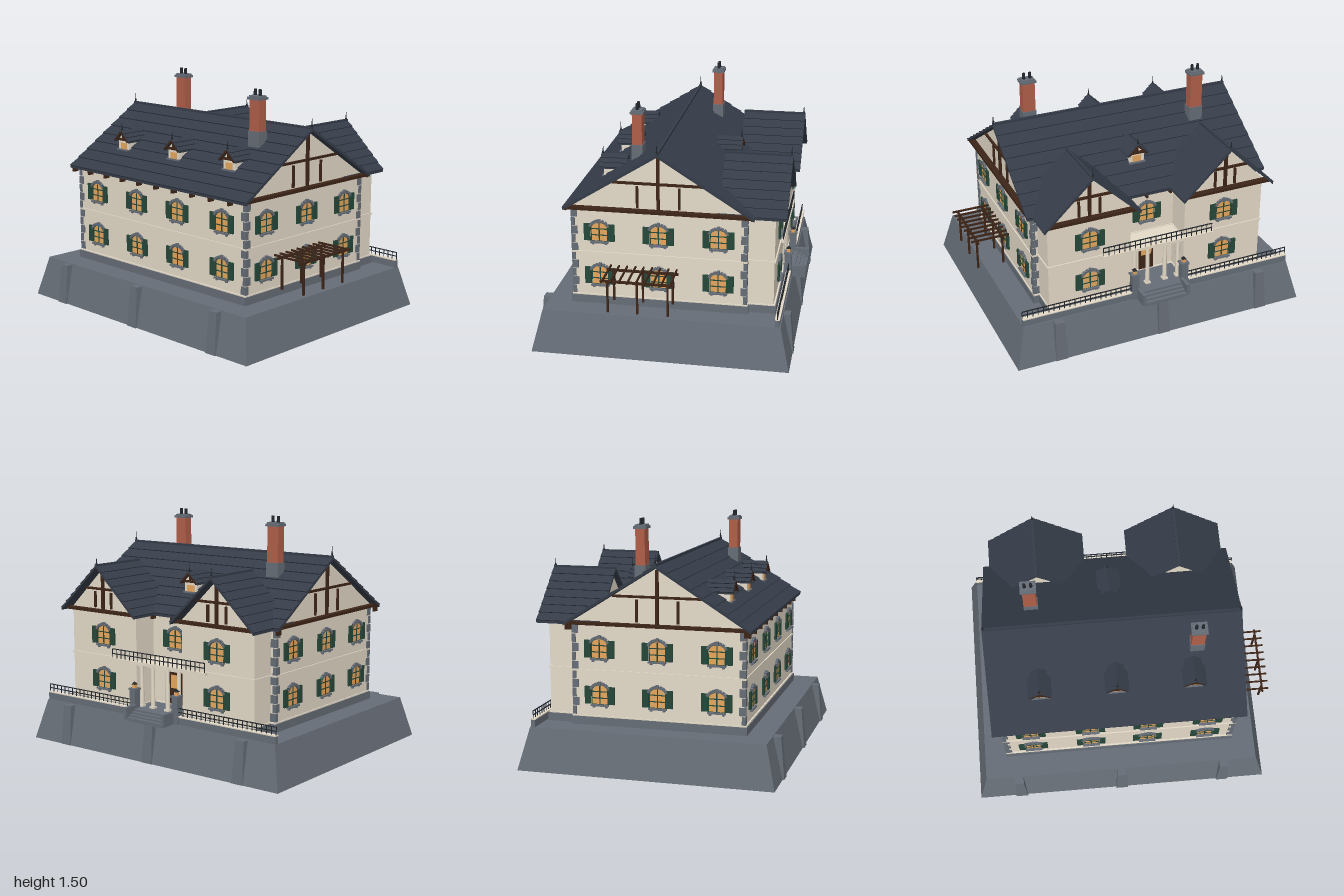
import * as THREE from 'three';

const mat = (name, color) => Object.assign(new THREE.MeshStandardMaterial({ color }), { name });
const M = {
  stone: mat('stone', 0x666d76), cream: mat('cream plaster', 0xe4dac8), roof: mat('slate', 0x353c48),
  wood: mat('dark timber', 0x3d2417), brick: mat('brick', 0xb05e49), green: mat('shutter green', 0x264739),
  glow: mat('lit glass', 0xe6a75e), iron: mat('iron', 0x22262b),
};
const RIDGE_Z = 0.04, MID_X = -0.02, EAVE = 0.89;

function add(parent, name, geo, material, x = 0, y = 0, z = 0) {
  const m = new THREE.Mesh(geo, material);
  m.name = name;
  m.position.set(x, y, z);
  parent.add(m);
  return m;
}
const box = (p, name, material, w, h, d, x, y, z) => add(p, name, new THREE.BoxGeometry(w, h, d), material, x, y, z);
// Box given by its limits on each axis
const span = (p, name, material, x0, x1, y0, y1, z0, z1) =>
  box(p, name, material, x1 - x0, y1 - y0, z1 - z0, (x0 + x1) / 2, (y0 + y1) / 2, (z0 + z1) / 2);

function group(parent, name, x = 0, y = 0, z = 0, turn = 0) {
  const g = new THREE.Group();
  g.name = name;
  g.position.set(x, y, z);
  g.rotation.y = turn;
  parent.add(g);
  return g;
}

// Tapered block standing on y = 0
function frustum(w0, d0, w1, d1, h) {
  const g = new THREE.BoxGeometry(1, h, 1).translate(0, h / 2, 0), p = g.attributes.position;
  for (let i = 0; i < p.count; i++) {
    const top = p.getY(i) > h / 2;
    p.setXYZ(i, p.getX(i) * (top ? w1 : w0), p.getY(i), p.getZ(i) * (top ? d1 : d0));
  }
  g.computeVertexNormals();
  return g;
}

const prism = (pts, z0, z1) => new THREE.ExtrudeGeometry(new THREE.Shape(pts.map(([x, y]) => new THREE.Vector2(x, y))),
  { depth: z1 - z0, bevelEnabled: false }).translate(0, 0, z0);

// Pitched roof with lipped slate courses, running along z
function roofGeo(half, eave, ridge, courses, z0, z1, t = 0.015) {
  const rise = ridge - eave, len = Math.hypot(half, rise), lip = 0.007;
  const slope = [];
  for (let i = 1; i <= courses; i++) {
    const k = i / courses, x = half * k, y = ridge - rise * k;
    slope.push([x + lip * rise / len, y + lip * half / len], [x, y]);
  }
  const left = slope.map(([x, y]) => [-x, y]);
  return prism([[-half, eave - t], [0, ridge - t], [half, eave - t], ...slope.reverse(), [0, ridge], ...left], z0, z1);
}

const houseGeo = (half, y0, y1, apex, z0, z1) =>
  prism([[-half, y0], [half, y0], [half, y1], [0, apex], [-half, y1]], z0, z1);

// Segmental-arched outline
function archShape(hw, y0, y1, rise) {
  const s = new THREE.Shape();
  s.moveTo(-hw, y0);
  s.lineTo(hw, y0);
  s.lineTo(hw, y1);
  s.quadraticCurveTo(hw * 0.7, y1 + rise, 0, y1 + rise);
  s.quadraticCurveTo(-hw * 0.7, y1 + rise, -hw, y1);
  return s;
}

// Shuttered window facing +z, centred on the origin
function makeWindow() {
  const g = new THREE.Group();
  g.name = 'window';
  add(g, 'frame', new THREE.ExtrudeGeometry(archShape(0.053, -0.062, 0.035, 0.029), { depth: 0.005, bevelEnabled: false, curveSegments: 5 }), M.green);
  add(g, 'glass', new THREE.ShapeGeometry(archShape(0.047, -0.057, 0.033, 0.025), 5), M.glow, 0, 0, 0.006);
  box(g, 'muntin', M.green, 0.007, 0.112, 0.004, 0, -0.001, 0.007);
  for (const y of [-0.02, 0.02]) box(g, 'muntin', M.green, 0.094, 0.006, 0.004, 0, y, 0.007);
  for (let i = -3; i <= 3; i++) {
    const a = i * 0.34;
    const v = box(g, 'archStone', M.stone, 0.018, i ? 0.016 : 0.024, 0.016, Math.sin(a) * 0.063, 0.012 + Math.cos(a) * 0.058, 0.008);
    v.rotation.z = -a;
  }
  box(g, 'sill', M.stone, 0.112, 0.01, 0.022, 0, -0.065, 0.011);
  for (const s of [-1, 1]) {
    box(g, 'corbel', M.stone, 0.014, 0.012, 0.014, s * 0.04, -0.075, 0.007);
    box(g, 'shutter', M.green, 0.04, 0.108, 0.012, s * 0.075, -0.003, 0.008);
  }
  return g;
}

// Half-timbering on a gable facing +z
function timbers(p, half, rise, z) {
  const c = rise * 0.47, w = 0.018;
  box(p, 'tieBeam', M.wood, half * 1.96, 0.018, 0.04, 0, EAVE, z + 0.02);
  box(p, 'collar', M.wood, half * 0.96, 0.014, 0.014, 0, EAVE + c, z + 0.007);
  box(p, 'kingPost', M.wood, w, rise - 0.03, 0.016, 0, EAVE + rise / 2 - 0.015, z + 0.008);
  for (const s of [-1, 1]) box(p, 'stud', M.wood, 0.014, c - 0.035, 0.012, s * half * 0.22, EAVE + c / 2, z + 0.006);
}

function finial(p, x, y, z) {
  add(p, 'finial', new THREE.ConeGeometry(0.006, 0.075, 6), M.iron, x, y + 0.03, z);
  add(p, 'finialBall', new THREE.SphereGeometry(0.007, 8, 6), M.iron, x, y + 0.015, z);
}

function railing(p, x0, x1, y, z, h) {
  const g = group(p, 'railing'), n = Math.round((x1 - x0) / 0.035);
  for (const f of [0.5, 1]) span(g, 'rail', M.iron, x0, x1, y + h * f - 0.005, y + h * f, z - 0.003, z + 0.003);
  for (let i = 0; i <= n; i++) box(g, 'baluster', M.iron, 0.004, h, 0.004, x0 + (x1 - x0) * i / n, y + h / 2, z);
}

function chimney(p, x, z, y0, yBrick, yTop) {
  const g = group(p, 'chimney', x, 0, z);
  span(g, 'chimneyBase', M.stone, -0.045, 0.045, y0, yBrick, -0.035, 0.035);
  span(g, 'chimneyStack', M.brick, -0.041, 0.041, yBrick, yTop, -0.03, 0.03);
  box(g, 'chimneyCap', M.stone, 0.1, 0.016, 0.08, 0, yTop, 0);
  box(g, 'chimneyCapTop', M.stone, 0.085, 0.01, 0.065, 0, yTop + 0.012, 0);
  for (const s of [-1, 1]) add(g, 'chimneyPot', new THREE.CylinderGeometry(0.009, 0.011, 0.04, 8), M.iron, s * 0.02, yTop + 0.035, 0);
}

// Dormer measured from the ridge line, facing +z
function dormer(p, x, turn) {
  const g = group(p, 'dormer', x, 0, RIDGE_Z, turn);
  add(g, 'dormerBody', houseGeo(0.05, 0.98, 1.08, 1.13, 0.26, 0.385), M.cream);
  add(g, 'dormerRoof', roofGeo(0.07, 1.075, 1.145, 3, 0.24, 0.41, 0.01), M.roof);
  box(g, 'dormerGlass', M.glow, 0.055, 0.042, 0.004, 0, 1.037, 0.387);
  box(g, 'dormerSill', M.stone, 0.11, 0.01, 0.018, 0, 1.012, 0.39);
  box(g, 'dormerBeam', M.wood, 0.115, 0.012, 0.02, 0, 1.082, 0.395);
  box(g, 'dormerPost', M.wood, 0.012, 0.05, 0.012, 0, 1.105, 0.392);
  for (const s of [-1, 1])
    box(g, 'dormerBarge', M.wood, 0.085, 0.011, 0.008, s * 0.032, 1.1, 0.408).rotation.z = -s * 0.785;
  finial(g, 0, 1.135, 0.4);
}

export function createModel() {
  const root = new THREE.Group();
  root.name = 'manorHouse';

  // Battered base with buttresses
  add(root, 'base', frustum(1.96, 1.585, 1.83, 1.46, 0.26), M.stone, MID_X, 0, 0.0075);
  for (const x of [-0.715, MID_X, 0.675]) for (const z of [0.7, -0.68])
    add(root, 'buttress', frustum(0.08, 0.22, 0.06, 0.17, 0.256), M.stone, x, 0, z);

  // Main block
  span(root, 'plinth', M.stone, -0.79, 0.75, 0.25, 0.31, -0.51, 0.59);
  span(root, 'plinthCap', M.cream, -0.786, 0.746, 0.31, 0.318, -0.505, 0.585);
  span(root, 'stringCourse', M.cream, -0.787, 0.747, 0.592, 0.604, -0.502, 0.582);
  const main = group(root, 'mainBlock', 0, 0, RIDGE_Z, Math.PI / 2);
  add(main, 'walls', houseGeo(0.535, 0.3, 0.9, 1.238, -0.78, 0.74), M.cream);
  add(main, 'mainRoof', roofGeo(0.58, EAVE, 1.255, 8, -0.83, 0.785), M.roof);
  span(main, 'ridgeCap', M.roof, -0.008, 0.008, 1.25, 1.265, -0.83, 0.785);
  for (const x of [-0.82, 0.778]) finial(root, x, 1.26, RIDGE_Z);
  timbers(main, 0.58, 0.365, 0.74);
  timbers(group(root, 'rightGable', 0, 0, RIDGE_Z, -Math.PI / 2), 0.58, 0.365, 0.78);

  // Eaves with rafter tails
  for (const s of [-1, 1]) {
    span(root, 'fascia', M.wood, -0.82, 0.775, 0.873, 0.884, RIDGE_Z + s * 0.565 - 0.006, RIDGE_Z + s * 0.565 + 0.006);
    for (let i = 0; i < 10; i++) box(root, 'rafterTail', M.wood, 0.014, 0.035, 0.04, -0.65 - 0.16 + i * 0.16, 0.867, RIDGE_Z + s * 0.553);
  }

  // Corner quoins
  for (const [x, sx] of [[-0.78, 1], [0.74, -1]]) for (const [z, sz] of [[0.575, -1], [-0.495, 1]])
    for (let i = 0; i < 10; i++) {
      const a = i % 2 ? 0.024 : 0.04, b = i % 2 ? 0.04 : 0.024;
      box(root, 'quoin', M.stone, a, 0.05, b, x + sx * (a / 2 - 0.006), 0.346 + i * 0.056, z + sz * (b / 2 - 0.006));
    }

  // Windows
  const win = makeWindow();
  const place = (x, y, z, turn) => {
    const w = win.clone();
    w.position.set(x, y, z);
    w.rotation.y = turn;
    root.add(w);
  };
  for (const y of [0.45, 0.735]) {
    for (const x of [-0.595, -0.21, 0.165, 0.55]) place(x, y, 0.575, 0);
    for (const z of [0.405, 0.04, -0.325]) {
      place(0.74, y, z, Math.PI / 2);
      place(-0.78, y, z, -Math.PI / 2);
    }
    for (const x of [-0.475, 0.435]) place(x, y, -0.66, Math.PI);
  }
  place(MID_X, 0.735, -0.495, Math.PI);

  // Rear wings, built facing +z and turned round
  for (const x of [-0.475, 0.435]) {
    const w = group(root, 'rearWing', x, 0, 0, Math.PI);
    span(w, 'wingPlinth', M.stone, -0.28, 0.28, 0.25, 0.31, 0.45, 0.675);
    span(w, 'wingPlinthCap', M.cream, -0.276, 0.276, 0.31, 0.318, 0.45, 0.67);
    span(w, 'wingStringCourse', M.cream, -0.277, 0.277, 0.592, 0.604, 0.45, 0.668);
    add(w, 'wingWalls', houseGeo(0.27, 0.3, 0.9, 1.165, 0.35, 0.66), M.cream);
    add(w, 'wingRoof', roofGeo(0.31, EAVE, 1.185, 7, 0.32, 0.73), M.roof);
    span(w, 'wingRidgeCap', M.roof, -0.008, 0.008, 1.18, 1.192, 0.32, 0.73);
    timbers(w, 0.31, 0.295, 0.66);
    finial(w, 0, 1.18, 0.72);
  }

  // Chimneys and dormers
  chimney(root, -0.52, -0.135, 1.1, 1.22, 1.45);
  chimney(root, 0.49, 0.21, 1.1, 1.23, 1.43);
  for (const x of [-0.505, -0.025, 0.46]) dormer(root, x, 0);
  dormer(root, MID_X, Math.PI);

  // Rear porch with balcony
  span(root, 'porchFloor', M.stone, -0.22, 0.18, 0.25, 0.312, -0.72, -0.49);
  span(root, 'balcony', M.cream, -0.4, 0.36, 0.582, 0.6, -0.685, -0.49);
  railing(root, -0.39, 0.35, 0.6, -0.678, 0.06);
  for (const dx of [-0.15, -0.06, 0.06, 0.15]) {
    add(root, 'column', new THREE.CylinderGeometry(0.012, 0.014, 0.27, 12), M.cream, MID_X + dx, 0.447, -0.65);
    for (const y of [0.318, 0.576]) box(root, 'columnBlock', M.cream, 0.034, 0.014, 0.034, MID_X + dx, y, -0.65);
  }
  span(root, 'door', M.wood, -0.07, 0.03, 0.312, 0.52, -0.503, -0.49);
  span(root, 'doorGlass', M.glow, -0.055, 0.015, 0.42, 0.505, -0.506, -0.49);

  // Steps, lantern piers and terrace wall
  for (let i = 0; i < 4; i++) span(root, 'step', M.stone, -0.165, 0.125, 0.25, 0.312 - i * 0.013, -0.738 - i * 0.023, -0.71);
  for (const s of [-1, 1]) {
    const x = MID_X + s * 0.15;
    box(root, 'stepCheek', M.stone, 0.022, 0.075, 0.095, x, 0.297, -0.762);
    box(root, 'pier', M.stone, 0.045, 0.17, 0.045, x + s * 0.02, 0.342, -0.697);
    box(root, 'pierCap', M.stone, 0.056, 0.012, 0.056, x + s * 0.02, 0.43, -0.697);
    box(root, 'lantern', M.glow, 0.022, 0.024, 0.022, x + s * 0.02, 0.448, -0.697);
    add(root, 'lanternTop', new THREE.ConeGeometry(0.02, 0.018, 4, 1, false, Math.PI / 4), M.iron, x + s * 0.02, 0.468, -0.697);
    const x0 = s < 0 ? -0.935 : 0.17, x1 = s < 0 ? -0.21 : 0.895;
    span(root, 'terraceWall', M.stone, x0, x1, 0.25, 0.305, -0.715, -0.69);
    span(root, 'terraceCoping', M.cream, x0, x1, 0.305, 0.312, -0.718, -0.687);
    railing(root, x0 + 0.005, x1, 0.312, -0.7025, 0.05);
  }

  // Pergola
  const pergola = group(root, 'pergola');
  for (const x of [0.79, 0.96]) {
    for (const z of [0.31, 0.13, -0.055]) box(pergola, 'pergolaPost', M.wood, 0.012, 0.2, 0.012, x, 0.41, z);
    box(pergola, 'pergolaBeam', M.wood, 0.012, 0.014, 0.445, x, 0.51, 0.132);
  }
  for (let i = 0; i < 9; i++) box(pergola, 'pergolaSlat', M.wood, 0.25, 0.012, 0.009, 0.875, 0.522, -0.073 + i * 0.051);

  return root;
}
